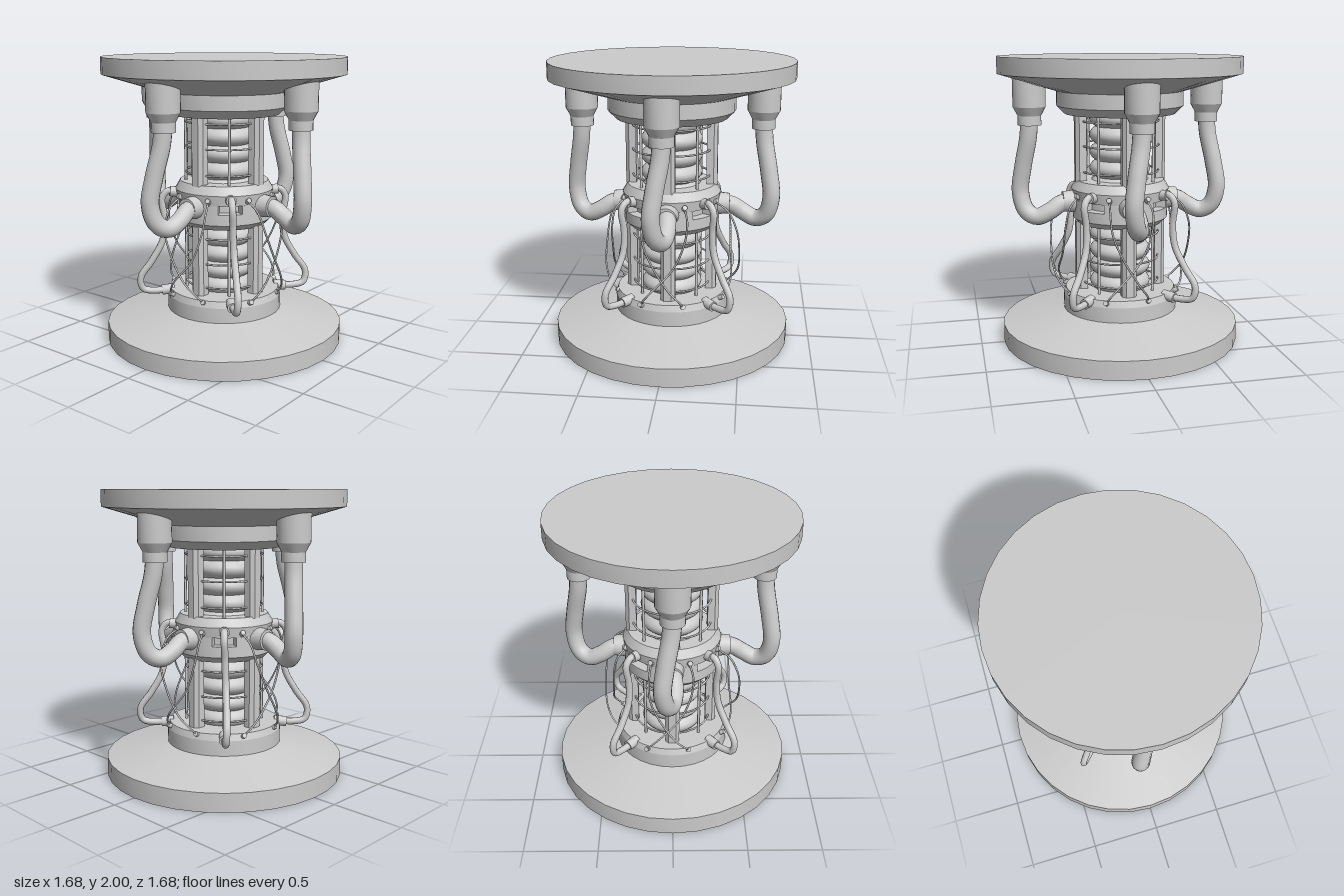
import * as THREE from 'three';
import { toCreasedNormals } from 'three/addons/utils/BufferGeometryUtils.js';

const material = new THREE.MeshStandardMaterial({ color: 0xcccccc });
const V = (p) => new THREE.Vector3(...p);
const SIDES = 32;

function part(parent, name, geometry) {
  const mesh = new THREE.Mesh(geometry, material);
  mesh.name = name;
  parent.add(mesh);
  return mesh;
}

// Turned part; profile is [radius, y] listed so that faces point outwards
function turned(parent, name, profile, sides = SIDES, crease = 0.4) {
  const points = profile.map(([r, y]) => new THREE.Vector2(r, y));
  return part(parent, name, toCreasedNormals(new THREE.LatheGeometry(points, sides), crease));
}

function tube(parent, name, points, radius, segments, sides) {
  const curve = new THREE.CatmullRomCurve3(points.map(V));
  return part(parent, name, new THREE.TubeGeometry(curve, segments, radius, sides));
}

// Short cylinder between two points
function fitting(parent, name, from, to, r0, r1 = r0) {
  const a = V(from), b = V(to), dir = b.clone().sub(a);
  const mesh = part(parent, name, new THREE.CylinderGeometry(r1, r0, dir.length(), 16));
  mesh.position.copy(a).add(b).multiplyScalar(0.5);
  mesh.quaternion.setFromUnitVectors(new THREE.Vector3(0, 1, 0), dir.normalize());
  return mesh;
}

// Piece of a ring standing on y, centred on the +x axis
function ringSector(inner, outer, halfAngle, y, height) {
  const shape = new THREE.Shape();
  shape.absarc(0, 0, outer, -halfAngle, halfAngle, false);
  shape.absarc(0, 0, inner, halfAngle, -halfAngle, true);
  const geometry = new THREE.ExtrudeGeometry(shape, { depth: height, bevelEnabled: false, curveSegments: 8 });
  return geometry.rotateX(-Math.PI / 2).translate(0, y, 0);
}

// Chamfered upright; wide face inwards, narrow face outwards (+z)
function postGeometry(y0, y1) {
  const shape = new THREE.Shape([
    [-0.05, -0.245], [-0.05, -0.295], [-0.027, -0.32], [0.027, -0.32], [0.05, -0.295], [0.05, -0.245],
  ].map(([x, y]) => new THREE.Vector2(x, y)));
  const geometry = new THREE.ExtrudeGeometry(shape, { depth: y1 - y0, bevelEnabled: false });
  return geometry.rotateX(-Math.PI / 2).translate(0, y0, 0);
}

// Everything that repeats on each of the four sides, built facing +z
function createSide() {
  const side = new THREE.Group();
  side.name = 'side';

  part(side, 'lowerPost', postGeometry(0.36, 0.86));
  part(side, 'upperPost', postGeometry(1.14, 1.63));

  // Hanging hose with its top and inner sockets
  const socket = turned(side, 'hoseSocket', [
    [0, 1.54], [0.08, 1.54], [0.08, 1.605], [0.112, 1.665], [0.112, 1.86], [0, 1.86],
  ], 24);
  socket.position.z = 0.628;
  tube(side, 'hose', [
    [0, 1.57, 0.63], [-0.01, 1.45, 0.64], [-0.045, 1.25, 0.675], [-0.065, 1.07, 0.695],
    [-0.04, 0.94, 0.66], [-0.005, 0.9, 0.59], [0.015, 0.94, 0.5], [0.01, 0.99, 0.42], [0, 1, 0.33],
  ], 0.06, 48, 16);
  fitting(side, 'hoseCollar', [0, 1, 0.3], [0, 1, 0.41], 0.082, 0.072);

  // Two thin wires crossing in front of the post
  const wires = [
    [[-0.14, 1.05, 0.31], [-0.155, 0.99, 0.4], [-0.15, 0.85, 0.465], [-0.08, 0.68, 0.485],
      [0.03, 0.5, 0.475], [0.1, 0.4, 0.42], [0.11, 0.355, 0.37]],
    [[0.115, 1.05, 0.32], [0.14, 0.98, 0.38], [0.13, 0.85, 0.41], [0.05, 0.65, 0.42],
      [-0.1, 0.48, 0.43], [-0.16, 0.4, 0.4], [-0.175, 0.355, 0.36]],
  ];
  for (const points of wires) {
    tube(side, 'wire', points, 0.007, 40, 6);
    for (const [x, y, z] of [points[0], points.at(-1)]) {
      fitting(side, 'wirePlug', [x * 0.95, y - 0.01, z * 0.95], [x * 1.06, y + 0.01, z * 1.06], 0.017);
    }
  }

  // Parts on the diagonal between two posts
  const corner = new THREE.Group();
  corner.name = 'corner';
  corner.rotation.y = Math.PI / 4;
  side.add(corner);
  for (const y of [0.61, 1.38]) {
    const rod = part(corner, 'cageRod', new THREE.CylinderGeometry(0.01, 0.01, 0.52, 8));
    rod.position.set(0, y, 0.27);
  }
  tube(corner, 'cable', [
    [0, 1.065, 0.33], [0, 1.07, 0.4], [0, 1.02, 0.44], [0.005, 0.88, 0.425], [0.01, 0.72, 0.44],
    [0.015, 0.57, 0.52], [0.015, 0.45, 0.6], [0.01, 0.365, 0.585], [0.005, 0.345, 0.5], [0, 0.355, 0.37],
  ], 0.024, 56, 10);
  fitting(corner, 'cablePlugTop', [0, 1.06, 0.31], [0, 1.068, 0.385], 0.036);
  fitting(corner, 'cablePlugBottom', [0, 0.355, 0.36], [0, 0.345, 0.45], 0.036);
  return side;
}

export function createModel() {
  const model = new THREE.Group();
  model.name = 'reactorColumn';

  // Wide base and head discs
  turned(model, 'base', [
    [0, 0], [0.84, 0], [0.84, 0.13], [0.405, 0.22], [0.405, 0.325], [0.39, 0.37], [0, 0.37],
  ], SIDES, 0.3);
  turned(model, 'head', [
    [0, 1.61], [0.385, 1.61], [0.44, 1.665], [0.44, 1.765], [0.84, 1.885], [0.84, 2], [0, 2],
  ], SIDES, 0.25);

  // Ribbed core
  const profile = [];
  const pitch = 0.117, ribs = 11, steps = 6;
  for (let i = 0; i <= ribs * steps; i++) {
    const t = i / steps;
    profile.push([0.172 + 0.043 * Math.pow(Math.abs(Math.sin(Math.PI * t)), 0.8), 0.35 + t * pitch]);
  }
  turned(model, 'ribbedCore', profile, SIDES, 0.8);

  // Thin cage hoops
  for (const y of [0.42, 0.59, 0.77, 1.21, 1.39, 1.56]) {
    const hoop = part(model, 'cageHoop', new THREE.TorusGeometry(0.27, 0.007, 6, SIDES));
    hoop.rotation.x = Math.PI / 2;
    hoop.position.y = y;
  }

  // Middle band: lower ring, upper ring, slotted layer and the wall behind the slots
  turned(model, 'bandLower', [
    [0.2, 0.845], [0.295, 0.845], [0.335, 0.885], [0.335, 0.96], [0.2, 0.96],
  ]);
  turned(model, 'bandUpper', [
    [0.2, 1.02], [0.335, 1.02], [0.345, 1.09], [0.31, 1.15], [0.2, 1.15],
  ]);
  turned(model, 'bandInnerWall', [[0.265, 0.95], [0.265, 1.03]]);
  for (let i = 0; i < 4; i++) {
    const block = part(model, 'bandBlock', ringSector(0.25, 0.335, 0.54, 0.96, 0.06));
    block.rotation.y = i * Math.PI / 2;
  }

  for (let i = 0; i < 4; i++) {
    const side = createSide();
    side.rotation.y = i * Math.PI / 2;
    model.add(side);
  }
  return model;
}
